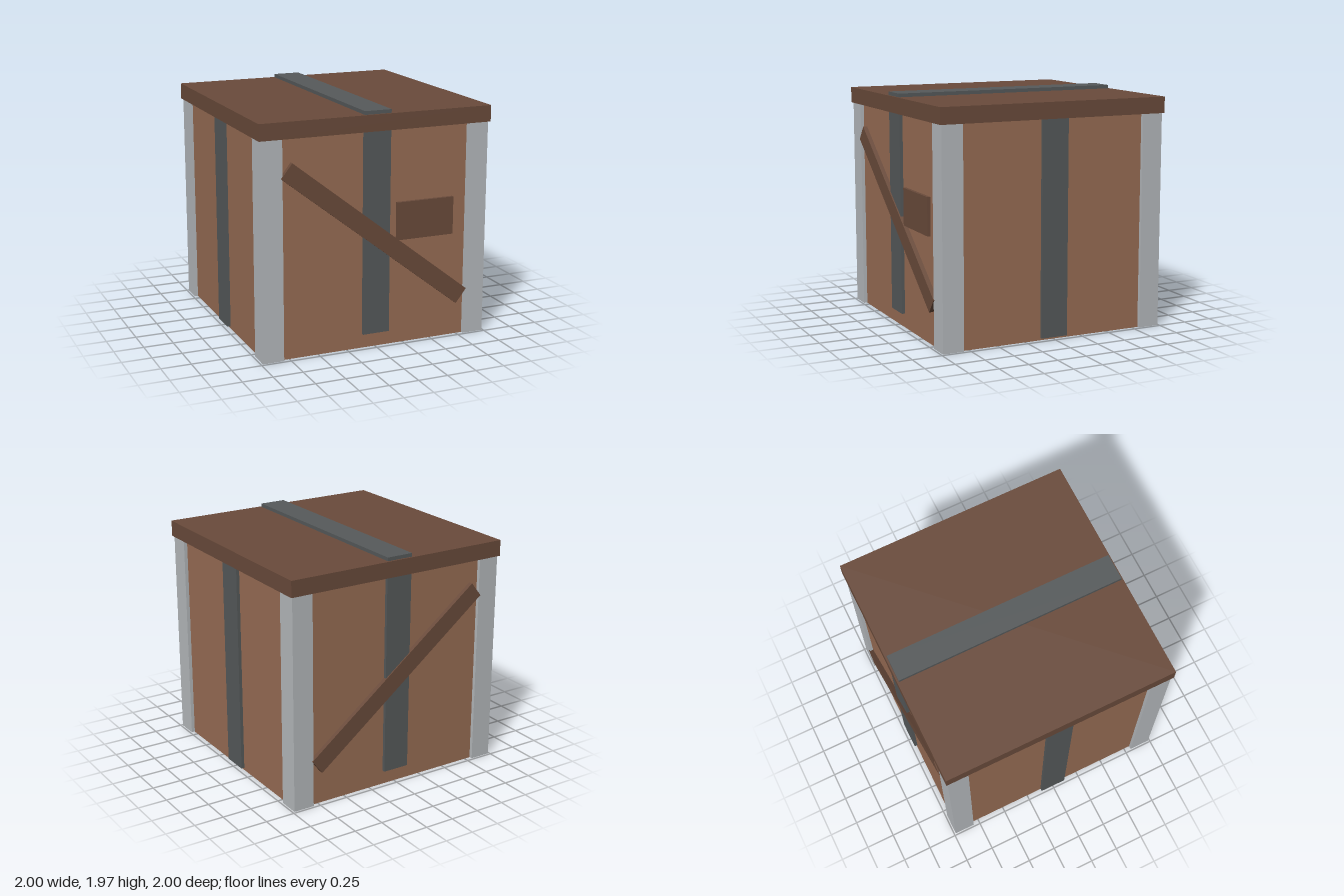
import * as THREE from 'three';

const mat = (name, color) => {
  const m = new THREE.MeshStandardMaterial({ color });
  m.name = name;
  return m;
};

export function createModel() {
  const panelWood = mat('panelWood', 0x986d54);
  const darkWood = mat('darkWood', 0x6a4b3b);
  const lightMetal = mat('lightMetal', 0xb6babd);
  const darkMetal = mat('darkMetal', 0x565a5b);

  const crate = new THREE.Group();
  crate.name = 'crate';

  // Box given by its lower and upper corners
  const box = (name, material, [x0, y0, z0], [x1, y1, z1]) => {
    const mesh = new THREE.Mesh(new THREE.BoxGeometry(x1 - x0, y1 - y0, z1 - z0), material);
    mesh.position.set((x0 + x1) / 2, (y0 + y1) / 2, (z0 + z1) / 2);
    mesh.name = name;
    crate.add(mesh);
    return mesh;
  };

  const wall = 0.955, post = 0.985, inner = 0.805, strap = 0.115, strapOut = 0.982;
  const lidBottom = 1.8, lidTop = 1.935;

  // Body and overhanging lid
  box('body', panelWood, [-wall, 0, -wall], [wall, lidBottom + 0.01, wall]);
  box('lid', darkWood, [-1, lidBottom, -1], [1, lidTop, 1]);
  box('lidStrap', darkMetal, [-strap, lidTop - 0.01, -post], [strap, 1.965, post]);

  for (const s of [-1, 1]) {
    const end = s > 0 ? 'front' : 'back';
    const side = s > 0 ? 'left' : 'right';

    // Corner posts
    for (const t of [-1, 1]) {
      const c = (inner + post) / 2;
      const p = box(end + (t > 0 ? 'Left' : 'Right') + 'Post', lightMetal,
        [inner, 0.002, inner], [post, lidBottom + 0.01, post]);
      p.position.x = t * c;
      p.position.z = s * c;
    }

    // Vertical straps: short on front and back, nearly full height on the sides
    const depth = strapOut - 0.94, mid = (strapOut + 0.94) / 2;
    box(end + 'Strap', darkMetal, [-strap, 0.12, s * mid - depth / 2],
      [strap, lidBottom + 0.01, s * mid + depth / 2]);
    box(side + 'Strap', darkMetal, [s * mid - depth / 2, 0.02, -strap],
      [s * mid + depth / 2, lidBottom + 0.01, strap]);

    // Diagonal brace, leaning the same way through the crate
    const brace = new THREE.Mesh(new THREE.BoxGeometry(1.963, 0.15, 0.045), darkWood);
    brace.name = end + 'Brace';
    brace.position.set(0, 0.944, s * 0.9695);
    brace.rotation.z = -0.664;
    crate.add(brace);
  }

  // Small board on the front
  box('frontBoard', darkWood, [0.18, 0.885, 0.94], [0.685, 1.2, 0.982]);

  return crate;
}
